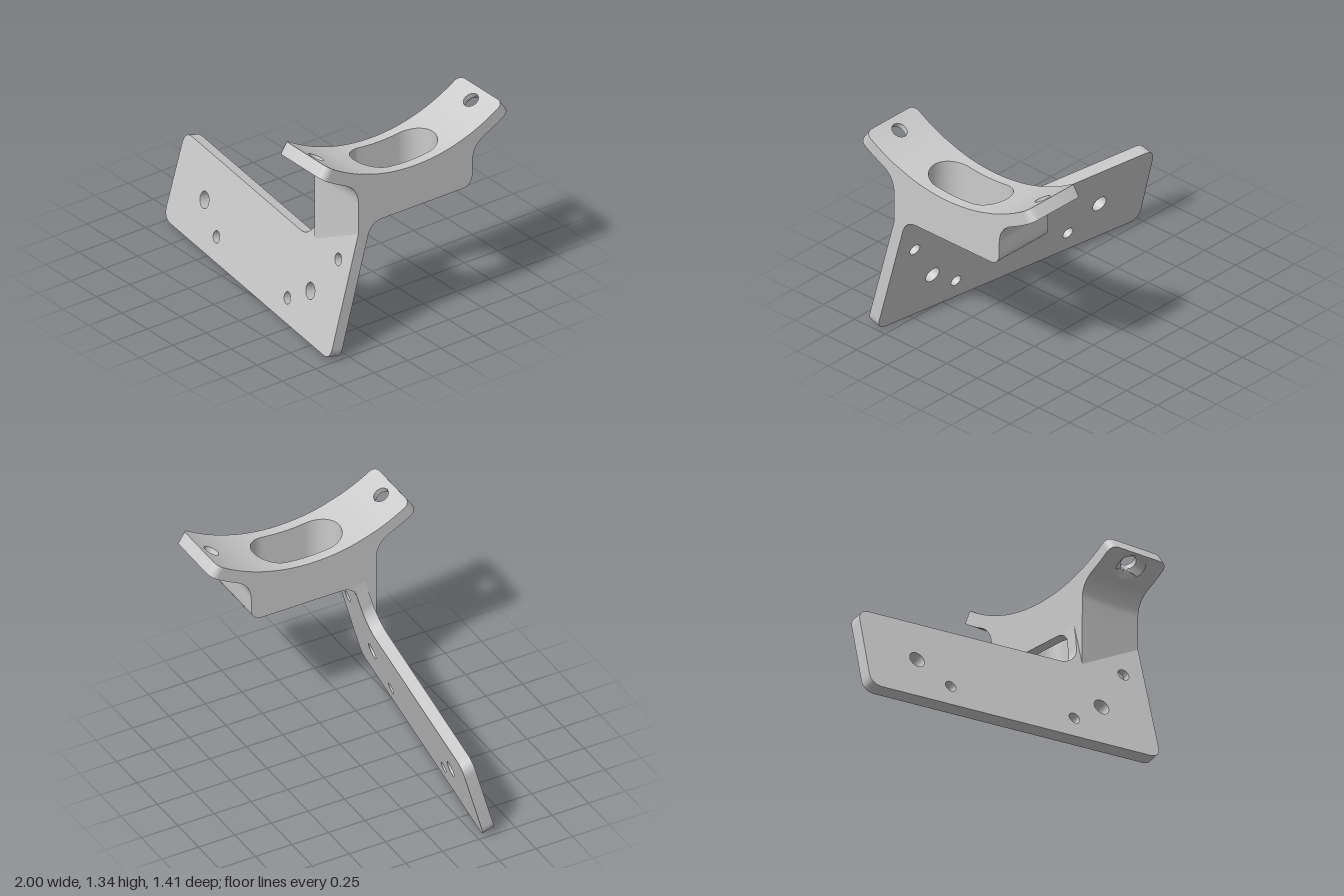
import * as THREE from 'three';
import { toCreasedNormals } from 'three/addons/utils/BufferGeometryUtils.js';

const material = new THREE.MeshStandardMaterial({ color: 0xcccccc });
const CX = 0.785, HALF = 0.215;            // saddle centre line and half width
const SLOT_R = 0.147, SLOT_Z = 0.146;      // slot end radius and centre
const FLOOR = 0.86;                        // underside of the saddle block
const ARC_Y = 2.305, R_TOP = 1.165, R_BOT = 1.248;
const THICK_Z = 0.0765, THICK_Y = 0.021;   // plate thickness along its normal

// Front plane of the leaning, turned plate
const plateZ = (x, y) => 0.65 - 0.273 * y + 0.14 * (x - 1);
const root = v => Math.sqrt(Math.max(0, v));

function addMesh(group, name, geometry) {
  const mesh = new THREE.Mesh(toCreasedNormals(geometry, 0.6), material);
  mesh.name = name;
  group.add(mesh);
}

function moveVertices(geometry, rule) {
  const p = geometry.attributes.position;
  for (let i = 0; i < p.count; i++) p.setXYZ(i, ...rule(p.getX(i), p.getY(i), p.getZ(i)));
  return geometry;
}

// L-shaped plate with drilled holes
function plateGeometry() {
  const s = new THREE.Shape();
  s.moveTo(-0.92, 0.022);
  s.lineTo(0.92, 0.022);
  s.quadraticCurveTo(1, 0.022, 1, 0.1);
  s.lineTo(1, 0.885);
  s.lineTo(0.57, 0.885);
  s.lineTo(0.565, 0.8);
  s.lineTo(0.555, 0.725);
  s.absarc(0.405, 0.725, 0.15, 0, -Math.PI / 2, true);
  s.lineTo(-0.9, 0.575);
  s.quadraticCurveTo(-0.985, 0.575, -0.987, 0.49);
  s.lineTo(-1, 0.1);
  s.quadraticCurveTo(-1, 0.022, -0.92, 0.022);
  const holes = [[-0.63, 0.3, 0.05], [0.645, 0.3, 0.05], [-0.425, 0.16, 0.036],
    [0.43, 0.16, 0.036], [0.855, 0.59, 0.037]];
  for (const [x, y, r] of holes) {
    s.holes.push(new THREE.Path().absarc(x, y, r, 0, Math.PI * 2, true));
  }
  const g = new THREE.ExtrudeGeometry(s, { depth: 1, bevelEnabled: false, curveSegments: 16 });
  return moveVertices(g, (x, y, d) =>
    [x, y - THICK_Y * (1 - d), plateZ(x, y) - THICK_Z * (1 - d)]);
}

// Side profile (drawn with -z as its first axis) extruded across the saddle width
function acrossSaddle(shape, steps = 1) {
  const g = new THREE.ExtrudeGeometry(shape,
    { depth: HALF * 2, steps, bevelEnabled: false, curveSegments: 10 });
  return g.rotateY(Math.PI / 2).translate(CX - HALF, 0, 0);
}

// Half of the saddle as stations, from the flange tip to the middle
function halfStations(isBack) {
  const list = [];
  const topAt = z => [z, ARC_Y - Math.sqrt(R_TOP * R_TOP - z * z)];
  const add = (top, bot, o = {}) =>
    list.push({ top, bot, hw: HALF, wt: 0, wb: 0, mid: 0.5, ...o });

  // Curved flange with rounded tip and countersunk screw hole
  const tip = 0.602, start = 0.438, holeAt = 0.522, N = 64;
  for (let i = 0; i <= N; i++) {
    const a = tip + (start - tip) * (i / N);
    const q = Math.abs(a - holeAt) * 1.2, e = Math.min(0.05, (tip - a) * 1.2);
    add([R_TOP * Math.sin(a), ARC_Y - R_TOP * Math.cos(a)],
      [R_BOT * Math.sin(a), ARC_Y - R_BOT * Math.cos(a)], {
        hw: HALF - 0.05 + root(0.0025 - (0.05 - e) ** 2),
        wt: root(0.0025 - q * q),
        wb: root(0.095 ** 2 - q * q),
        mid: 0.55 * Math.min(1, Math.max(0, (0.095 - q) / 0.045)),
      });
  }
  // Fillet under the flange
  const fillet = new THREE.QuadraticBezierCurve(new THREE.Vector2(0.53, 1.175),
    new THREE.Vector2(0.43, 1.13), new THREE.Vector2(0.428, 1.02));
  for (let i = 1; i <= 10; i++) {
    const p = fillet.getPoint(i / 10);
    add(topAt(0.494 - 0.0064 * i), [p.x, p.y]);
  }
  // Block wall, with a rounded lower corner at the back
  if (isBack) {
    for (let i = 0; i <= 8; i++) {
      const t = (i / 8) * Math.PI / 2;
      add(topAt(0.425 - 0.008 * i),
        [0.358 + 0.07 * Math.cos(t), FLOOR + 0.07 * (1 - Math.sin(t))]);
    }
  } else add(topAt(0.42), [0.428, FLOOR]);
  // Slot
  for (let i = 0; i <= 16; i++) {
    const t = (i / 16) * Math.PI / 2, z = SLOT_Z + SLOT_R * Math.cos(t);
    const w = i ? SLOT_R * Math.sin(t) : 0;
    add(topAt(z), [z, FLOOR], { wt: w, wb: w });
  }
  for (const z of [0.1, 0.05, 0]) add(topAt(z), [z, FLOOR], { wt: SLOT_R, wb: SLOT_R });
  return list;
}

function saddleGeometry() {
  const back = halfStations(true).map(s =>
    ({ ...s, top: [-s.top[0], s.top[1]], bot: [-s.bot[0], s.bot[1]] }));
  const stations = [...back, ...halfStations(false).reverse().slice(1)];
  const out = [];
  const tri = (a, b, c) => {
    const area = b.clone().sub(a).cross(c.clone().sub(a)).length();
    if (area > 1e-9) for (const v of [a, b, c]) out.push(v.x, v.y, v.z);
  };
  const quad = (a, b, c, d, flip) => {
    if (flip) [b, d] = [d, b];
    tri(a, b, c);
    tri(a, c, d);
  };
  for (const side of [1, -1]) {
    const flip = side < 0;
    const rings = stations.map(({ top, bot, hw, wt, wb, mid }) => {
      const at = (w, k) => new THREE.Vector3(CX + side * w,
        bot[1] + (top[1] - bot[1]) * k, bot[0] + (top[0] - bot[0]) * k);
      return [at(hw, 1), at(wt, 1), at(wt, mid), at(wb, 0), at(hw, 0)];
    });
    for (let i = 0; i + 1 < rings.length; i++) {
      for (let j = 0; j < 5; j++) {
        const k = (j + 1) % 5;
        const q = [rings[i][j], rings[i][k], rings[i + 1][k], rings[i + 1][j]];
        // No wall on the centre line where there is no hole
        if (q.every(v => Math.abs(v.x - CX) < 1e-6)) continue;
        quad(...q, flip);
      }
    }
    // Flange tips
    const a = rings[0], b = rings[rings.length - 1];
    quad(a[4], a[3], a[1], a[0], flip);
    quad(b[0], b[1], b[3], b[4], flip);
  }
  const g = new THREE.BufferGeometry();
  g.setAttribute('position', new THREE.Float32BufferAttribute(out, 3));
  return g;
}

export function createModel() {
  const group = new THREE.Group();
  group.name = 'angledSaddleBracket';
  addMesh(group, 'mountingPlate', plateGeometry());
  addMesh(group, 'saddle', saddleGeometry());

  // Upright front face of the neck, running into the plate
  const neck = new THREE.Shape([[-0.428, 0.585], [-0.41, 0.585], [-0.335, 0.87], [-0.428, 0.87]]
    .map(p => new THREE.Vector2(...p)));
  addMesh(group, 'neckFront', acrossSaddle(neck));

  // Fillet between plate and saddle, cut back to the slot wall
  const web = new THREE.Shape();
  web.moveTo(-0.358, 0.77);
  web.quadraticCurveTo(-0.335, 0.857, -0.255, 0.86);
  web.lineTo(-0.255, 0.863);
  web.lineTo(-0.36, 0.863);
  const webGeometry = moveVertices(acrossSaddle(web, 24), (x, y, z) => {
    const dx = x - CX;
    const limit = Math.abs(dx) < SLOT_R ? SLOT_Z + root(SLOT_R ** 2 - dx * dx) : -1;
    return [x, y, Math.max(z + 0.14 * (x - 1), limit)];
  });
  addMesh(group, 'neckFillet', webGeometry);
  return group;
}
